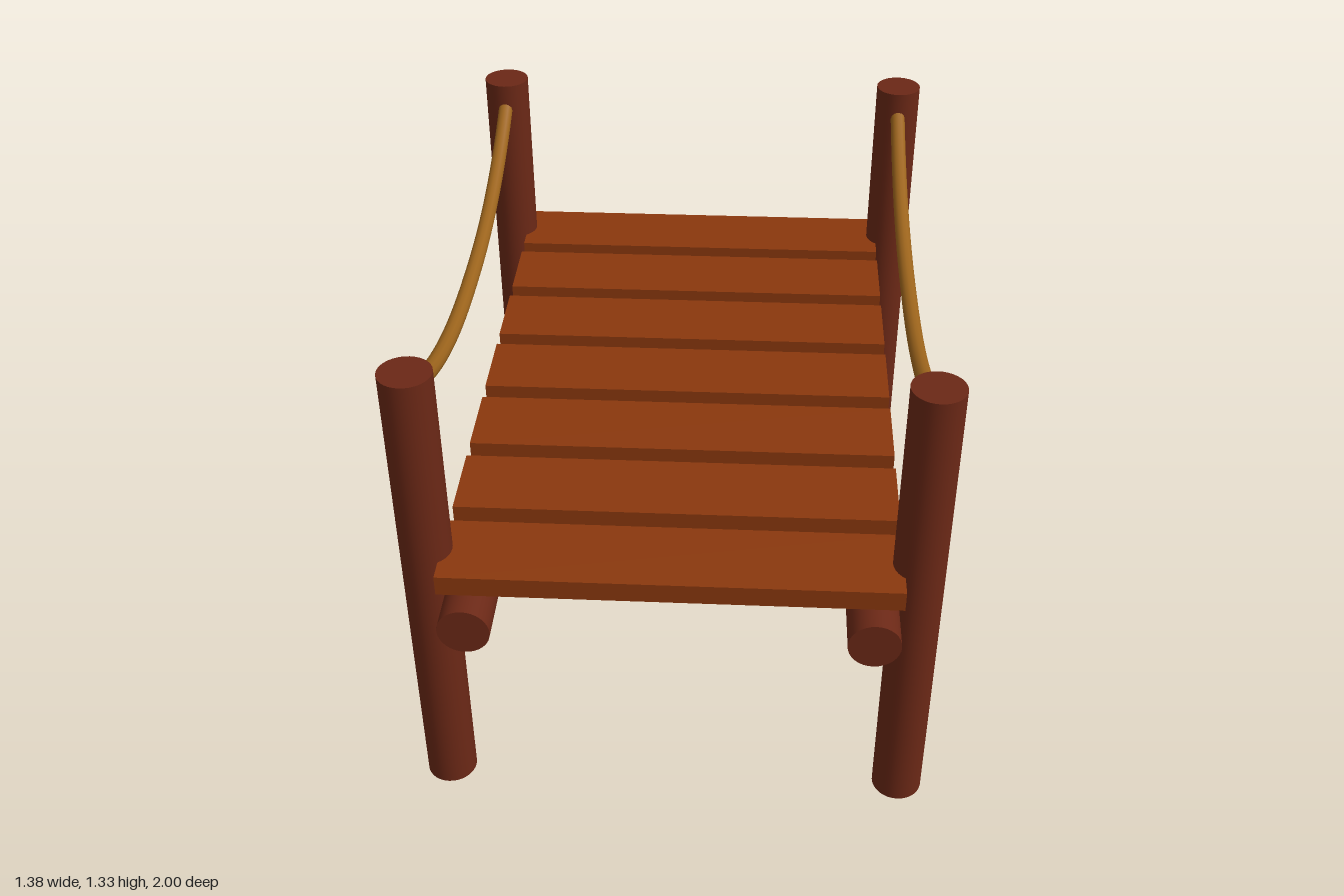
import * as THREE from 'three';

const POST_X = 0.622, POST_Z = 0.833, POST_H = 1.333, LOG_R = 0.067;

export function createModel() {
  const group = new THREE.Group();
  const logWood = new THREE.MeshStandardMaterial({ color: 0x6b2816 });
  const plankWood = new THREE.MeshStandardMaterial({ color: 0x8a380d });
  const ropeFibre = new THREE.MeshStandardMaterial({ color: 0x9c641c });

  const add = (name, geometry, material, x, y, z) => {
    const mesh = new THREE.Mesh(geometry, material);
    mesh.name = name;
    mesh.position.set(x, y, z);
    group.add(mesh);
    return mesh;
  };

  const postGeo = new THREE.CylinderGeometry(LOG_R, LOG_R, POST_H, 32);
  const beamGeo = new THREE.CylinderGeometry(LOG_R, LOG_R, 2, 32).rotateX(Math.PI / 2);
  const plankGeo = new THREE.BoxGeometry(1.167, 0.056, 0.222);

  // Sagging rope between the centres of two posts
  const ropePoints = [];
  for (let i = 0; i <= 16; i++) {
    const t = i / 8 - 1;
    ropePoints.push(new THREE.Vector3(0, 1.083 + 0.2 * Math.abs(t) ** 2.3, t * POST_Z));
  }
  const ropeGeo = new THREE.TubeGeometry(new THREE.CatmullRomCurve3(ropePoints), 48, 0.022, 12);

  for (const [side, s] of [['left', 1], ['right', -1]]) {
    // Upright posts
    add(side + 'FrontPost', postGeo, logWood, s * POST_X, POST_H / 2, POST_Z);
    add(side + 'BackPost', postGeo, logWood, s * POST_X, POST_H / 2, -POST_Z);
    // Long log under the deck
    add(side + 'Beam', beamGeo, logWood, s * 0.511, 0.667, 0);
    // Handrail rope
    add(side + 'Rope', ropeGeo, ropeFibre, s * POST_X, 0, 0);
  }

  // Deck planks with gaps
  for (let i = 0; i < 7; i++) {
    add('plank' + (i + 1), plankGeo, plankWood, 0, 0.767, (i - 3) * POST_Z / 3);
  }
  return group;
}
